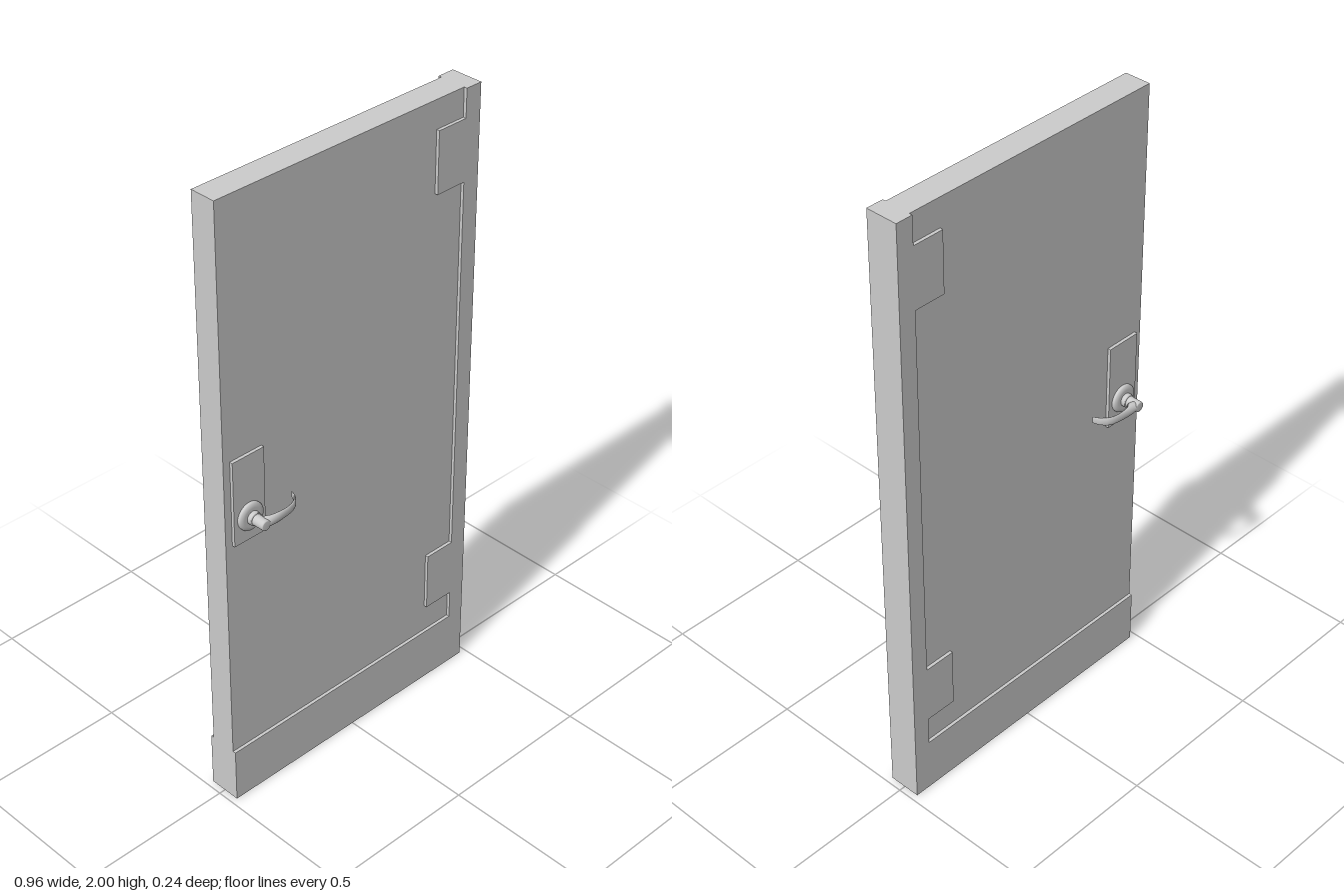
import * as THREE from 'three';

const material = new THREE.MeshStandardMaterial({ color: 0xcccccc });
const W = 0.479, CORE = 0.0423, FACE = 0.0526; // half width, half depths
const HANDLE_X = -0.398, HANDLE_Y = 1.0;

function mesh(name, geometry) {
  const m = new THREE.Mesh(geometry, material);
  m.name = name;
  return m;
}

// Thin raised plate lying on the door panel, from an outline in x and y
function plate(name, points) {
  const shape = new THREE.Shape(points.map(([x, y]) => new THREE.Vector2(x, y)));
  const geometry = new THREE.ExtrudeGeometry(shape, { depth: FACE - CORE, bevelEnabled: false });
  return mesh(name, geometry.translate(0, 0, CORE));
}

// Turned part whose axis points out of the door; profile is [radius, z]
function turned(name, profile) {
  const geometry = new THREE.LatheGeometry(profile.map(([r, z]) => new THREE.Vector2(r, z)), 32);
  geometry.rotateX(Math.PI / 2).translate(HANDLE_X, HANDLE_Y, 0);
  return mesh(name, geometry);
}

// Curved lever: elliptical sections between an inner and an outer edge
function lever() {
  // inner x, inner z, outer x, outer z, centre y, half height
  const stations = [
    [-0.400, 0.092, -0.400, 0.1215, 1.000, 0.015],
    [-0.378, 0.090, -0.382, 0.1215, 1.000, 0.016],
    [-0.373, 0.097, -0.370, 0.1213, 1.000, 0.016],
    [-0.360, 0.103, -0.355, 0.1208, 1.000, 0.016],
    [-0.340, 0.107, -0.336, 0.1195, 1.001, 0.015],
    [-0.317, 0.109, -0.312, 0.1175, 1.002, 0.014],
    [-0.296, 0.106, -0.289, 0.1135, 1.003, 0.014],
    [-0.280, 0.099, -0.273, 0.1050, 1.004, 0.014],
    [-0.265, 0.086, -0.259, 0.0890, 1.005, 0.013],
    [-0.254, 0.066, -0.252, 0.0670, 1.005, 0.011],
  ];
  const sides = 16, positions = [], index = [];
  const ring = ([xi, zi, xo, zo, y, h], size) => {
    for (let j = 0; j < sides; j++) {
      const t = (j / sides) * Math.PI * 2;
      const c = 0.5 * Math.cos(t) * size;
      positions.push((xi + xo) / 2 + (xo - xi) * c, y + h * Math.sin(t) * size, (zi + zo) / 2 + (zo - zi) * c);
    }
  };
  ring(stations[0], 0);
  stations.forEach((s) => ring(s, 1));
  ring(stations[stations.length - 1], 0);
  for (let i = 0; i <= stations.length; i++) {
    for (let j = 0; j < sides; j++) {
      const k = (j + 1) % sides;
      const a = i * sides + j, b = a + sides, c = i * sides + k, d = c + sides;
      index.push(a, b, c, b, d, c);
    }
  }
  const geometry = new THREE.BufferGeometry();
  geometry.setAttribute('position', new THREE.Float32BufferAttribute(positions, 3));
  geometry.setIndex(index);
  geometry.computeVertexNormals();
  return mesh('lever', geometry);
}

// Everything mounted on one face of the door
function doorFace(name) {
  const side = new THREE.Group();
  side.name = name;

  // Hinge strip with two hinge tabs, joined to the kick plate
  const strip = 0.423, tab = 0.319;
  side.add(plate('hingeStripAndKickPlate', [
    [-W, 0], [W, 0], [W, 2], [strip, 2],
    [strip, 1.91], [tab, 1.91], [tab, 1.715], [strip, 1.715],
    [strip, 0.47], [tab, 0.47], [tab, 0.275], [strip, 0.275],
    [strip, 0.18], [-W, 0.18],
  ]));
  side.add(plate('lockPlate', [[-0.455, 0.92], [-0.34, 0.92], [-0.34, 1.2], [-0.455, 1.2]]));

  // Handle
  const handle = new THREE.Group();
  handle.name = 'handle';
  handle.add(
    turned('rose', [[0.0445, 0.05], [0.0445, 0.059], [0.043, 0.062], [0.037, 0.065], [0.030, 0.066], [0, 0.066]]),
    turned('neck', [[0.021, 0.064], [0.021, 0.078], [0.0195, 0.081], [0, 0.081]]),
    turned('stem', [[0.0175, 0.078], [0.0168, 0.09], [0.0165, 0.117], [0.0155, 0.1203], [0.013, 0.1215], [0, 0.1215]]),
    lever(),
  );
  side.add(handle);
  return side;
}

export function createModel() {
  const door = new THREE.Group();
  door.name = 'door';
  door.add(mesh('doorPanel', new THREE.BoxGeometry(2 * W, 2, 2 * CORE).translate(0, 1, 0)));

  // Both faces carry the same fittings, mirrored in z
  const front = doorFace('frontFace');
  const back = doorFace('backFace');
  back.scale.z = -1;
  door.add(front, back);
  return door;
}
